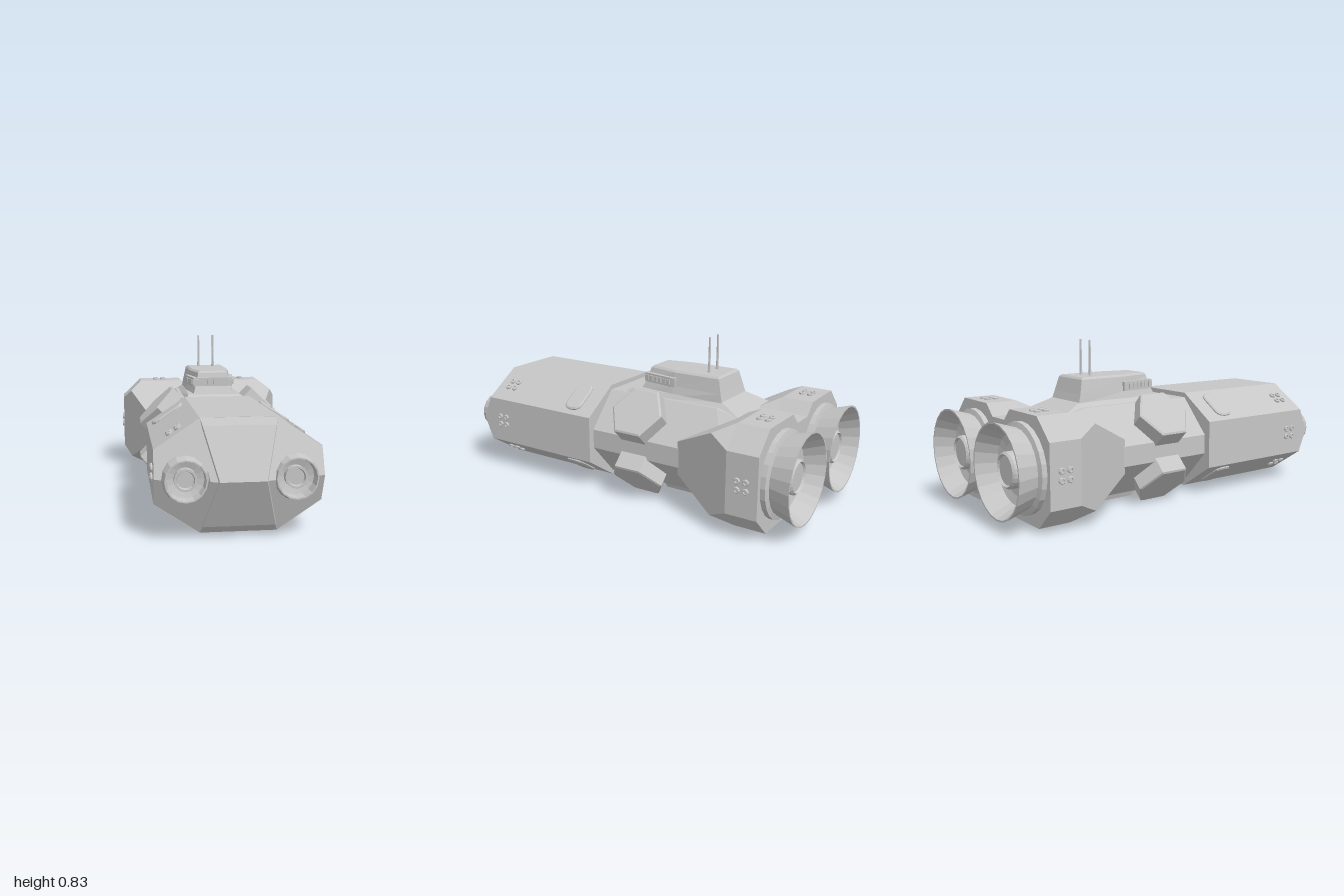
import * as THREE from 'three';

const hullGrey = new THREE.MeshStandardMaterial({ color: 0xc6c6c6, flatShading: true });
hullGrey.name = 'hullGrey';
const MID = 0.28; // height of the ship's centre line

function add(parent, name, geo, x = 0, y = 0, z = 0) {
  const m = new THREE.Mesh(geo, hullGrey);
  m.name = name;
  m.position.set(x, y, z);
  parent.add(m);
  return m;
}

// Closed solid through rings of [x, y, z], counter-clockwise seen from the last ring's end
function loft(rings) {
  const out = [];
  const tri = (a, b, c) => out.push(...a, ...b, ...c);
  const n = rings[0].length;
  for (let r = 0; r < rings.length - 1; r++) {
    for (let i = 0; i < n; i++) {
      const j = (i + 1) % n, s = rings[r], t = rings[r + 1];
      tri(s[i], s[j], t[j]);
      tri(s[i], t[j], t[i]);
    }
  }
  const first = rings[0], last = rings[rings.length - 1];
  for (let i = 1; i < n - 1; i++) {
    tri(first[0], first[i + 1], first[i]);
    tri(last[0], last[i], last[i + 1]);
  }
  const g = new THREE.BufferGeometry();
  g.setAttribute('position', new THREE.Float32BufferAttribute(out, 3));
  g.computeVertexNormals();
  return g;
}

// Octagonal cross-section: half sizes hx, hy and half flats fx, fy
const oct = (cx, hx, fx, hy, fy, z) =>
  [[fx, -hy], [hx, -fy], [hx, fy], [fx, hy], [-fx, hy], [-hx, fy], [-hx, -fy], [-fx, -hy]]
    .map(([x, y]) => [cx + x, MID + y, z]);

// Mirrored deck outline at height y from right-side [x, z] points, front to back
const outline = (y, pts) => [
  ...pts.map(([x, z]) => [x, y, z]),
  ...[...pts].reverse().map(([x, z]) => [-x, y, z]),
];

const lathe = (pts, n) => new THREE.LatheGeometry(pts.map(p => new THREE.Vector2(...p)), n);

// Sloped quarter of the nose with a half-round opening for the emitter
function nosePlate(s, u) {
  const pts = [[0.1, 0]];
  for (let i = 0; i <= 8; i++) {
    const a = Math.PI * (1 - i / 8);
    pts.push([0.238 + 0.1 * Math.cos(a), 0.1 * Math.sin(a)]);
  }
  pts.push([0.37, 0], [0.37, 0.122], [0.17, 0.254]);
  const g = new THREE.ShapeGeometry(new THREE.Shape(pts.map(([x, y]) => new THREE.Vector2(s * x, u * y))));
  const p = g.attributes.position;
  for (let i = 0; i < p.count; i++) {
    p.setZ(i, 0.99 - 0.289 * (Math.abs(p.getX(i)) - 0.1) - 0.434 * Math.abs(p.getY(i)));
  }
  g.computeVertexNormals();
  return g;
}

// Group on a surface with local +y along the normal (nx, ny)
function mount(parent, name, x, y, z, nx, ny) {
  const g = new THREE.Group();
  g.name = name;
  g.position.set(x, y, z);
  g.rotation.z = Math.atan2(-nx, ny);
  parent.add(g);
  return g;
}

// Two by two cluster of small thruster studs
const studGeo = lathe([[0.016, -0.005], [0.016, 0.007], [0.013, 0.01], [0.009, 0.01], [0.008, 0.004], [0, 0.004]], 8);
function studs(parent, ...at) {
  const g = mount(parent, 'studCluster', ...at);
  for (const x of [-0.022, 0.022]) for (const z of [-0.022, 0.022]) add(g, 'stud', studGeo, x, 0, z);
}

// Rounded hatch, long across the slope
function hatchGeometry() {
  const w = 0.082, h = 0.044, c = 0.036, s = new THREE.Shape();
  s.moveTo(-w + c, -h);
  s.lineTo(w - c, -h); s.quadraticCurveTo(w, -h, w, -h + c);
  s.lineTo(w, h - c); s.quadraticCurveTo(w, h, w - c, h);
  s.lineTo(-w + c, h); s.quadraticCurveTo(-w, h, -w, h - c);
  s.lineTo(-w, -h + c); s.quadraticCurveTo(-w, -h, -w + c, -h);
  return new THREE.ExtrudeGeometry(s, {
    depth: 0.006, bevelEnabled: true, bevelSize: 0.008, bevelThickness: 0.006, bevelSegments: 1, curveSegments: 3,
  }).rotateX(-Math.PI / 2);
}

export function createModel() {
  const ship = new THREE.Group();
  ship.name = 'spaceship';

  // Forward hull and the centre strip of the wedge nose
  const fore = z => oct(0, 0.37, 0.17, 0.254, 0.122, z);
  add(ship, 'foreHull', loft([fore(0.155), fore(0.86)]));
  const rib = (hx, hy, z) => [[hx, MID - hy, z], [hx, MID + hy, z], [-hx, MID + hy, z], [-hx, MID - hy, z]];
  add(ship, 'noseRib', loft([rib(0.17, 0.253, 0.86), rib(0.16, 0.222, 0.884), rib(0.1, 0, 0.998)]));

  // Middle hull, narrowing between the engines
  add(ship, 'midHull', loft([
    oct(0, 0.3, 0.16, 0.196, 0.05, -0.86),
    oct(0, 0.335, 0.175, 0.2, 0.05, -0.61),
    oct(0, 0.335, 0.17, 0.23, 0.05, -0.48),
    oct(0, 0.335, 0.17, 0.23, 0.05, 0.16),
  ]));
  add(ship, 'towerBase', loft([
    outline(0.48, [[0.178, 0.115], [0.178, -0.61]]),
    outline(0.532, [[0.14, 0.04], [0.125, -0.485]]),
  ]));
  add(ship, 'bellyPlate', loft([
    outline(0.018, [[0.14, -0.18], [0.14, -0.47]]),
    outline(0.06, [[0.155, -0.165], [0.155, -0.485]]),
  ]));

  // Command tower
  add(ship, 'tower', loft([
    outline(0.52, [[0.11, 0.005], [0.135, -0.2], [0.13, -0.49]]),
    outline(0.57, [[0.095, -0.02], [0.12, -0.2], [0.122, -0.475]]),
    outline(0.64, [[0.078, -0.04], [0.108, -0.2], [0.108, -0.457]]),
    outline(0.65, [[0.07, -0.05], [0.098, -0.2], [0.098, -0.447]]),
  ]));
  const band = [[0.105, -0.02], [0.132, -0.19], [0.132, -0.215]];
  add(ship, 'windowBand', loft([outline(0.568, band), outline(0.615, band)]));

  // Bridge windows along the front and both sides of the band
  function windowRow(x0, z0, x1, z1, count) {
    const dx = x1 - x0, dz = z1 - z0, w = Math.hypot(dx, dz) / count * 0.8;
    for (let i = 0; i < count; i++) {
      const t = (i + 0.5) / count;
      const pane = add(ship, 'bridgeWindow', new THREE.BoxGeometry(w, 0.027, 0.009), x0 + dx * t, 0.592, z0 + dz * t);
      pane.rotation.y = Math.atan2(-dz, dx);
      pane.translateZ(0.002);
    }
  }
  windowRow(-0.105, -0.02, 0.105, -0.02, 6);
  windowRow(0.105, -0.02, 0.132, -0.19, 6);
  windowRow(-0.132, -0.19, -0.105, -0.02, 6);

  // Nose emitter, engine bell, pod and hatch shapes
  const emitterGeo = lathe([[0.102, 0], [0.102, 0.06], [0.092, 0.105], [0.086, 0.105], [0.082, 0.055],
    [0.05, 0.045], [0.05, 0.08], [0.04, 0.08], [0.036, 0.065], [0, 0.065]], 16).rotateX(Math.PI / 2);
  const bellGeo = lathe([[0.215, -0.01], [0.215, 0.025], [0.19, 0.032], [0.224, 0.14], [0.216, 0.14], [0.168, 0.045],
    [0.125, 0.035], [0.085, 0.035], [0.085, 0.085], [0.075, 0.095], [0.068, 0.085], [0, 0.085]], 24).rotateX(-Math.PI / 2);
  const podGeo = lathe([[0, -0.16], [0.149, -0.16], [0.149, -0.006], [0.139, 0], [0, 0]], 6);
  const hatchGeo = hatchGeometry();

  for (const s of [-1, 1]) {
    // Antenna
    add(ship, 'antennaBase', new THREE.CylinderGeometry(0.008, 0.01, 0.02, 6), s * 0.042, 0.657, -0.365);
    add(ship, 'antenna', new THREE.CylinderGeometry(0.0055, 0.0075, 0.17, 6), s * 0.042, 0.745, -0.365);

    // Nose emitter and the flat side of the nose beside it
    add(ship, 'noseEmitter', emitterGeo, s * 0.238, MID, 0.862);
    const cheek = x => [[x, MID + 0.122, 0.859], [x, MID, 0.912], [x, MID - 0.122, 0.859]];
    add(ship, 'noseCheek', loft([cheek(s * 0.3575 - 0.0125), cheek(s * 0.3575 + 0.0125)]));

    // Engine nacelle: chamfered block whose chamfers run out into a square taper
    const nac = (...section) => oct(s * 0.245, ...section);
    add(ship, 'nacelle', loft([
      nac(0.23, 0.125, 0.254, 0.152, -0.86),
      nac(0.23, 0.125, 0.254, 0.152, -0.7),
      nac(0.187, 0.187, 0.203, 0.203, -0.597),
      nac(0.087, 0.087, 0.085, 0.085, -0.36),
    ]));
    add(ship, 'engineBell', bellGeo, s * 0.24, MID, -0.86);

    // Side stud clusters
    studs(ship, s * 0.37, MID, 0.765, s, 0);
    studs(ship, s * 0.475, MID, -0.78, s, 0);

    // Parts repeated above and below
    for (const u of [-1, 1]) {
      add(ship, 'nosePlate', nosePlate(s, u), 0, MID, 0);
      add(mount(ship, 'hexPod', s * 0.309, MID + u * 0.188, -0.1, s, u), 'hexPodShell', podGeo);
      add(mount(ship, 'hatch', s * 0.27, MID + u * 0.188, 0.295, s * 0.132, u * 0.2), 'hatchCover', hatchGeo);
      studs(ship, s * 0.275, MID + u * 0.185, 0.765, s * 0.132, u * 0.2);
      studs(ship, s * 0.25, MID + u * 0.254, -0.78, 0, u);
    }
  }
  return ship;
}
